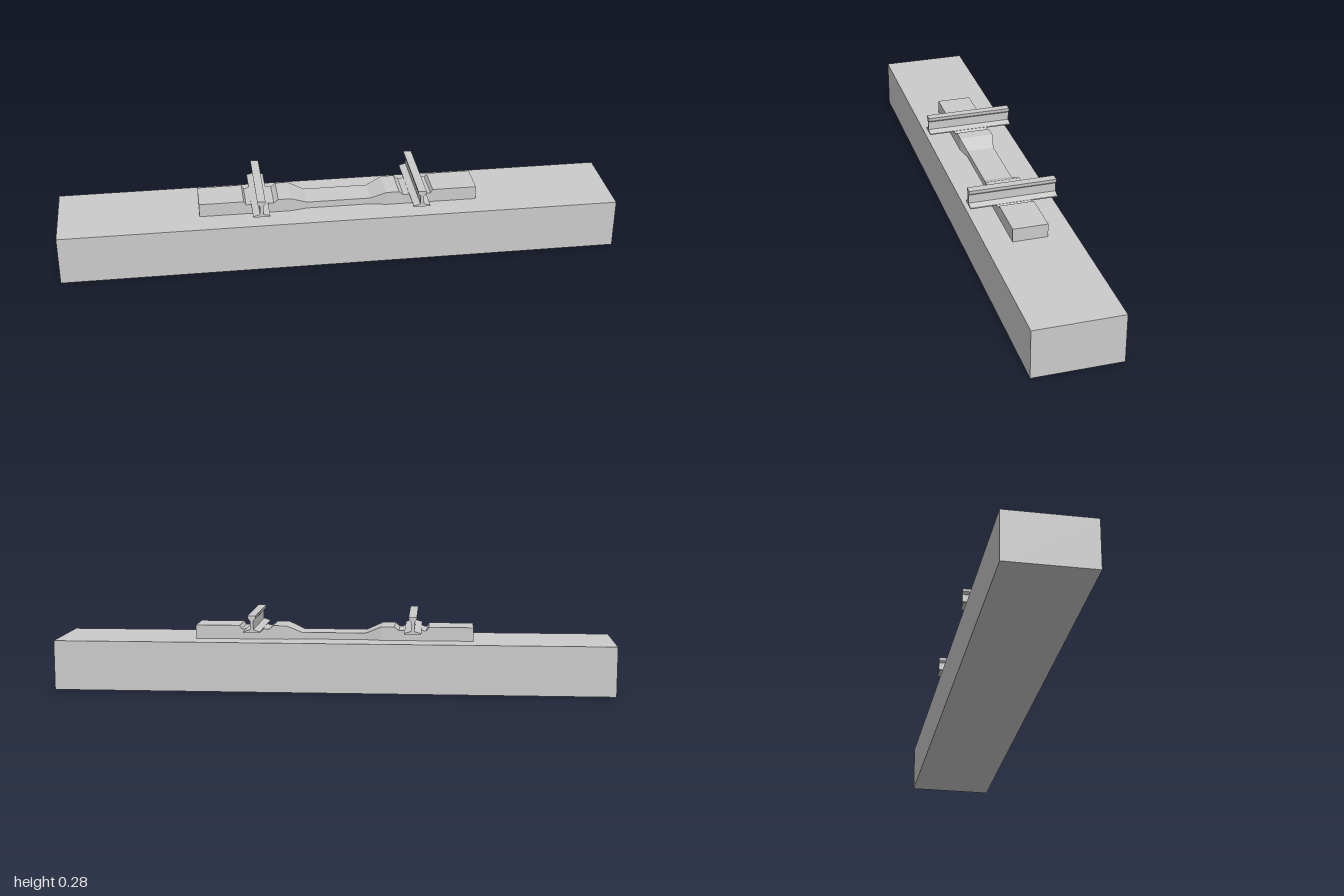
import * as THREE from 'three';

const material = new THREE.MeshStandardMaterial({ color: 0xcccccc, flatShading: true });

function addMesh(parent, geometry, name) {
  const mesh = new THREE.Mesh(geometry, material);
  mesh.name = name;
  parent.add(mesh);
  return mesh;
}

// Lofts rectangular sections [x, halfDepth, top], listed by rising x, on a flat bottom.
function loftGeometry(sections, bottom) {
  const rings = sections.map(([x, d, top]) => [
    [x, bottom, d], [x, bottom, -d], [x, top, -d], [x, top, d],
  ]);
  const positions = [];
  const quad = (a, b, c, d) => positions.push(...a, ...b, ...c, ...a, ...c, ...d);
  for (let i = 0; i < rings.length - 1; i++) {
    for (let j = 0; j < 4; j++) {
      const k = (j + 1) % 4;
      quad(rings[i][j], rings[i][k], rings[i + 1][k], rings[i + 1][j]);
    }
  }
  const first = rings[0], last = rings[rings.length - 1];
  quad(first[3], first[2], first[1], first[0]);
  quad(last[0], last[1], last[2], last[3]);
  const geometry = new THREE.BufferGeometry();
  geometry.setAttribute('position', new THREE.Float32BufferAttribute(positions, 3));
  geometry.computeVertexNormals();
  return geometry;
}

// Rail section: wide foot, thin web and head, mirrored about its middle.
function railGeometry(length) {
  const half = [
    [0.030, 0], [0.030, 0.004], [0.012, 0.009], [0.006, 0.011],
    [0.006, 0.042], [0.0135, 0.051], [0.0145, 0.061],
  ];
  const outline = [...half, ...half.map(([x, y]) => [-x, y]).reverse()];
  const shape = new THREE.Shape(outline.map(([x, y]) => new THREE.Vector2(x, y)));
  const geometry = new THREE.ExtrudeGeometry(shape, { depth: length, bevelEnabled: false });
  return geometry.translate(0, 0, -length / 2);
}

export function createModel() {
  const group = new THREE.Group();
  group.name = 'trackSection';
  const baseTop = 0.178, depth = 0.312;

  // Ballast bed
  addMesh(group, new THREE.BoxGeometry(2, baseTop, depth).translate(0, baseTop / 2, 0), 'ballastBed');

  // Sleeper with recessed rail seats and a lower, narrower waist
  const half = [
    [0.115, 0.050, 0.202], [0.172, 0.062, 0.227], [0.218, 0.062, 0.227],
    [0.234, 0.062, 0.214], [0.246, 0.062, 0.214], [0.254, 0.062, 0.217],
    [0.316, 0.062, 0.217], [0.324, 0.062, 0.214], [0.333, 0.062, 0.214],
    [0.341, 0.062, 0.227], [0.5, 0.062, 0.227],
  ];
  const mirrored = half.map(([x, d, top]) => [-x, d, top]).reverse();
  addMesh(group, loftGeometry([...mirrored, ...half], baseTop), 'sleeper');

  // Pair of rails
  const rail = railGeometry(depth);
  for (const side of [-1, 1]) {
    addMesh(group, rail, side > 0 ? 'leftRail' : 'rightRail').position.set(side * 0.285, 0.214, 0);
  }
  return group;
}
